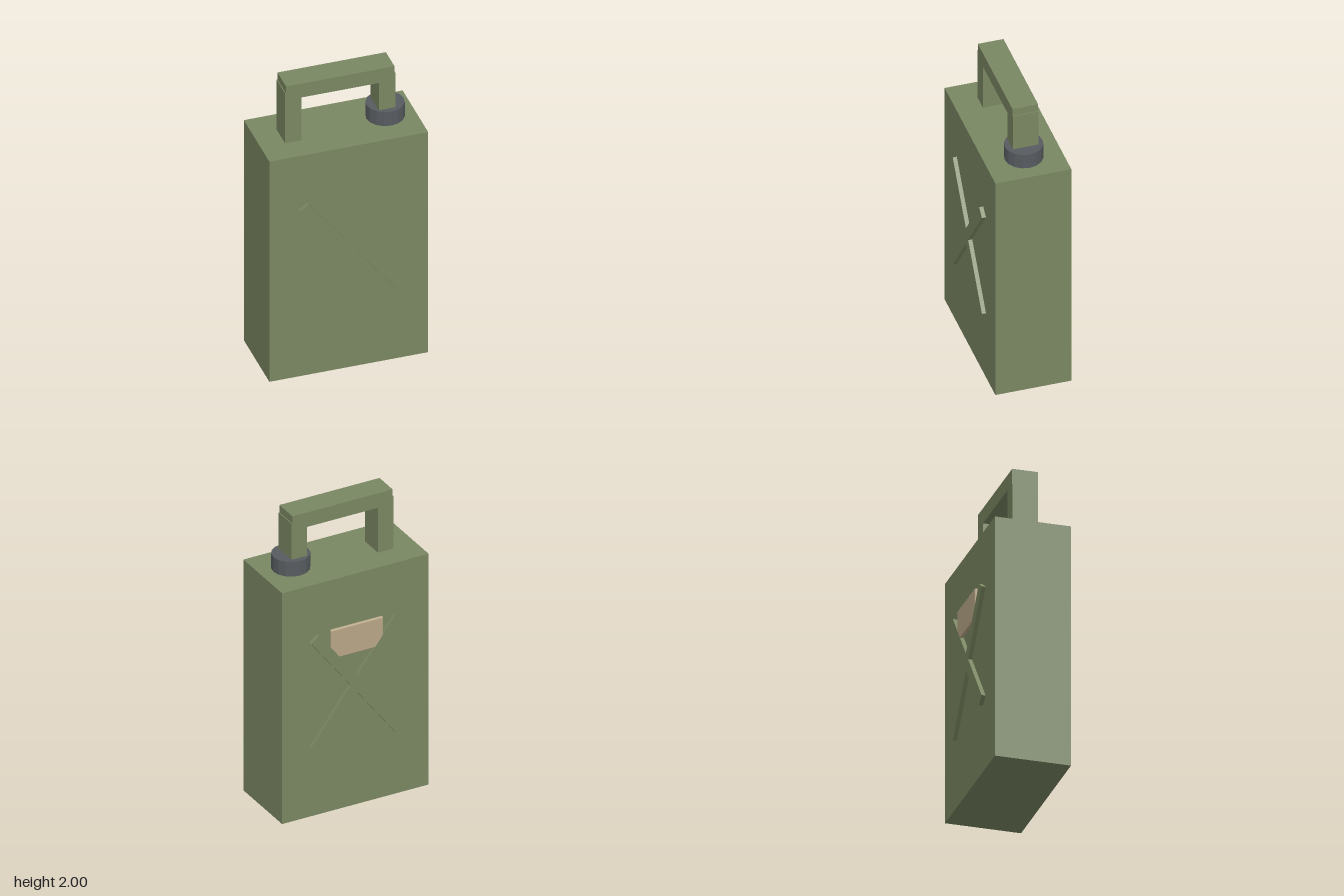
import * as THREE from 'three';
import { RoundedBoxGeometry } from 'three/addons/geometries/RoundedBoxGeometry.js';

function material(name, color) {
  const m = new THREE.MeshStandardMaterial({ color });
  m.name = name;
  return m;
}

export function createModel() {
  const green = material('olive green', 0x7a8762);
  const grey = material('dark grey', 0x575c60);
  const tan = material('tan', 0xb9a888);

  const model = new THREE.Group();
  model.name = 'fuelCan';

  function add(name, geometry, mat, x, y, z) {
    const mesh = new THREE.Mesh(geometry, mat);
    mesh.name = name;
    mesh.position.set(x, y, z);
    model.add(mesh);
    return mesh;
  }
  const box = (w, h, d) => new THREE.BoxGeometry(w, h, d);

  // Can body
  add('body', box(1.01, 1.59, 0.48), green, 0, 0.795, 0);

  // Carrying handle: two posts and a slightly shorter top bar
  for (const s of [-1, 1]) {
    add(s > 0 ? 'leftHandlePost' : 'rightHandlePost', box(0.106, 0.37, 0.16), green, s * 0.298, 1.765, 0);
  }
  add('handleBar', box(0.69, 0.1, 0.162), green, 0, 1.95, 0);

  // Filler cap around the left post
  const capGeometry = new THREE.CylinderGeometry(0.119, 0.119, 0.1, 16).toNonIndexed();
  capGeometry.computeVertexNormals();
  add('fillerCap', capGeometry, grey, 0.312, 1.652, 0);

  // Raised cross ribs on the front and back
  for (const side of [-1, 1]) {
    for (const lean of [-1, 1]) {
      const rib = add(side > 0 ? 'frontRib' : 'backRib', box(0.07, 0.96, 0.046), green, 0, 0.843, side * 0.243);
      rib.rotation.z = lean * 0.65;
    }
  }

  // Plate between the upper arms of the back cross
  add('backPlate', new RoundedBoxGeometry(0.36, 0.2, 0.021, 2, 0.008), tan, 0, 1.157, -0.2545);

  return model;
}
